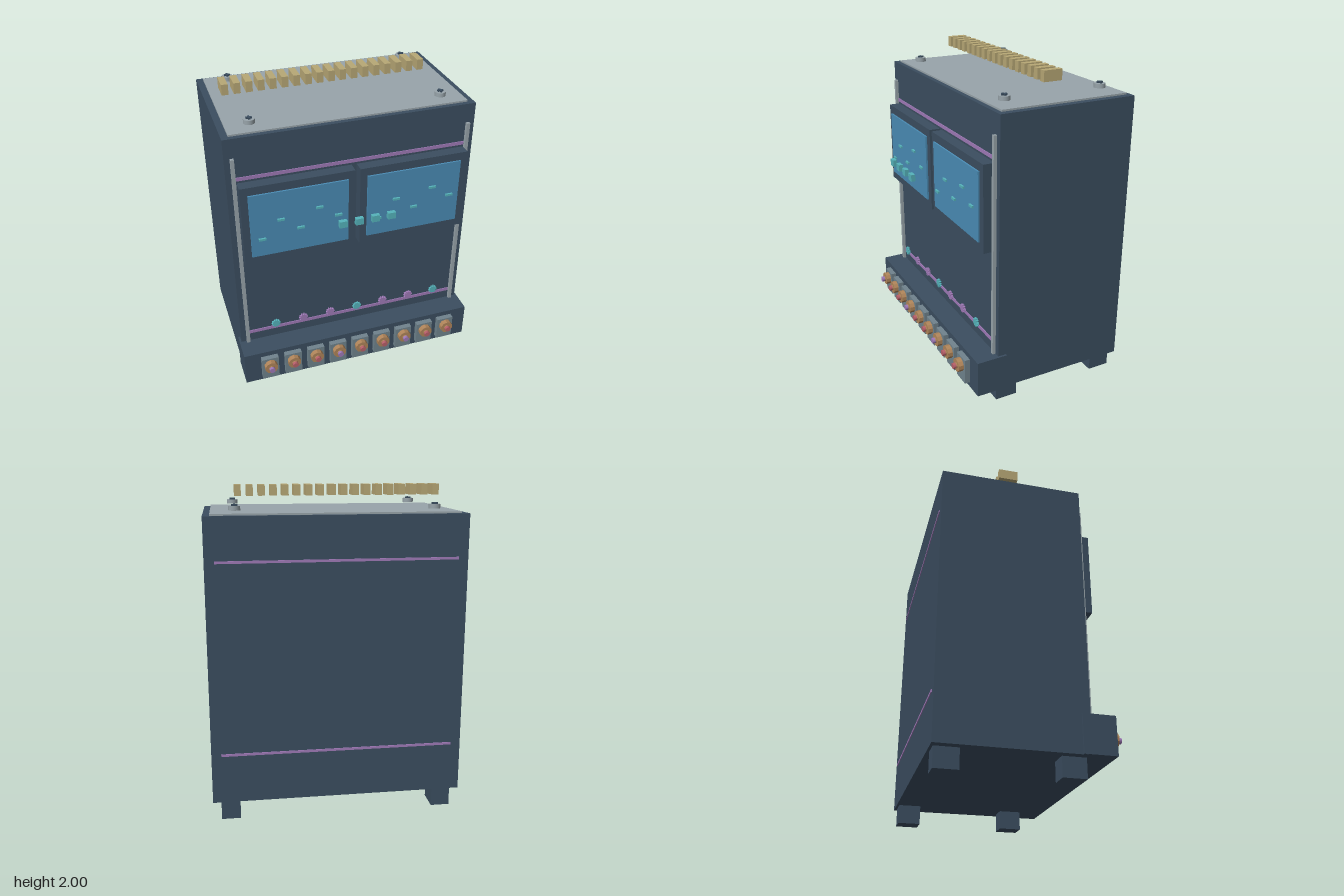
import * as THREE from 'three';

const mat = (name, color) => new THREE.MeshStandardMaterial({ name, color });

export function createModel() {
  const navy = mat('navy casing', 0x3b4e60);
  const steel = mat('pale steel', 0x98a4aa);
  const slate = mat('slate grey', 0x70838d);
  const blue = mat('screen blue', 0x4a8cb5);
  const teal = mat('teal', 0x55b3bb);
  const purple = mat('purple', 0xa07ab8);
  const gold = mat('brass', 0xb8a876);
  const bronze = mat('bronze', 0xb0855a);
  const red = mat('red', 0xb8606a);
  bronze.flatShading = true;

  const model = new THREE.Group();
  model.name = 'controlCabinet';

  // Box given by centre and size
  const box = (name, m, x, y, z, w, h, d, parent = model) => {
    const mesh = new THREE.Mesh(new THREE.BoxGeometry(w, h, d), m);
    mesh.name = name;
    mesh.position.set(x, y, z);
    parent.add(mesh);
    return mesh;
  };
  // Cylinder along y, or along z when forward is true
  const cyl = (name, m, x, y, z, r, h, sides, forward, parent = model) => {
    const geo = new THREE.CylinderGeometry(r, r, h, sides);
    if (forward) geo.rotateX(Math.PI / 2);
    const mesh = new THREE.Mesh(geo, m);
    mesh.name = name;
    mesh.position.set(x, y, z);
    parent.add(mesh);
    return mesh;
  };

  // Casing, top plate and lower connector panel
  box('body', navy, 0, 0.982, -0.136, 1.538, 1.725, 0.872);
  box('topPlate', steel, 0, 1.849, -0.138, 1.456, 0.012, 0.816);
  box('connectorPanel', navy, 0, 0.236, 0.346, 1.564, 0.232, 0.196);

  // Feet, rails and top bolts, mirrored left and right
  for (const s of [-1, 1]) {
    for (const z of [0.214, -0.485]) box('foot', navy, s * 0.661, 0.06, z, 0.116, 0.12, 0.142);
    box('frontRail', steel, s * 0.724, 1.035, 0.308, 0.022, 1.375, 0.024);
    for (const z of [0.178, -0.455]) {
      const bolt = new THREE.Group();
      bolt.name = 'topBolt';
      bolt.position.set(s * 0.587, 1.88, z);
      model.add(bolt);
      cyl('boltHead', steel, 0, 0, 0, 0.034, 0.026, 20, false, bolt);
      box('crossSlot', navy, 0, 0.016, 0, 0.036, 0.014, 0.012, bolt);
      box('crossSlot', navy, 0, 0.016, 0, 0.012, 0.014, 0.036, bolt);
    }
  }

  // Trim strips on the front and back
  for (const y of [1.586, 0.425]) {
    box('frontTrim', purple, 0, y, 0.302, 1.42, 0.022, 0.006);
    box('backTrim', purple, 0, y, -0.574, 1.42, 0.015, 0.006);
  }

  // Row of brass fins hovering over the top
  for (let i = 0; i < 18; i++) box('topFin', gold, -0.667 + i * 0.0722, 1.967, -0.138, 0.04, 0.066, 0.12);

  // Twin displays with small marks
  const markHeights = [1.205, 1.322, 1.242, 1.36, 1.283];
  for (const s of [-1, 1]) {
    box('displayFrame', navy, s * 0.3625, 1.292, 0.335, 0.693, 0.535, 0.07);
    box('screen', blue, s * 0.3625, 1.294, 0.3755, 0.605, 0.427, 0.011);
    markHeights.forEach((y, i) =>
      box('screenMark', teal, s * 0.3625 + (i - 2) * 0.118, y, 0.391, 0.044, 0.014, 0.012));
  }

  // Floating blocks in front of the displays
  for (let i = 0; i < 4; i++) box('floatingBlock', teal, -0.156 + i * 0.0995, 1.335, 0.562, 0.048, 0.042, 0.026);

  // Small toothed wheels
  const gear = new THREE.Shape();
  const teeth = 10;
  for (let i = 0; i < teeth * 4; i++) {
    const a = (i / (teeth * 4)) * Math.PI * 2;
    const r = i % 4 < 2 ? 0.029 : 0.022;
    if (i) gear.lineTo(r * Math.cos(a), r * Math.sin(a));
    else gear.moveTo(r, 0);
  }
  const gearGeo = new THREE.ExtrudeGeometry(gear, { depth: 0.015, bevelEnabled: false });
  for (let i = 0; i < 7; i++) {
    const wheel = new THREE.Mesh(gearGeo, i % 3 ? purple : teal);
    wheel.name = 'indicatorWheel';
    wheel.position.set(-0.54 + i * 0.1847, 0.495, 0.34);
    model.add(wheel);
  }

  // Connector row: plate, collar, stem and coloured tip
  for (let i = 0; i < 9; i++) {
    const socket = new THREE.Group();
    socket.name = 'connector';
    socket.position.set((i - 4) * 0.155, 0.265, 0);
    model.add(socket);
    box('connectorPlate', slate, 0, -0.029, 0.461, 0.111, 0.164, 0.034, socket);
    cyl('collar', bronze, 0, 0, 0.494, 0.043, 0.032, 10, true, socket);
    cyl('stem', bronze, 0, 0, 0.512, 0.02, 0.008, 10, true, socket);
    cyl('tip', i % 3 ? red : purple, 0, 0, 0.525, 0.019, 0.018, 10, true, socket);
  }

  return model;
}
